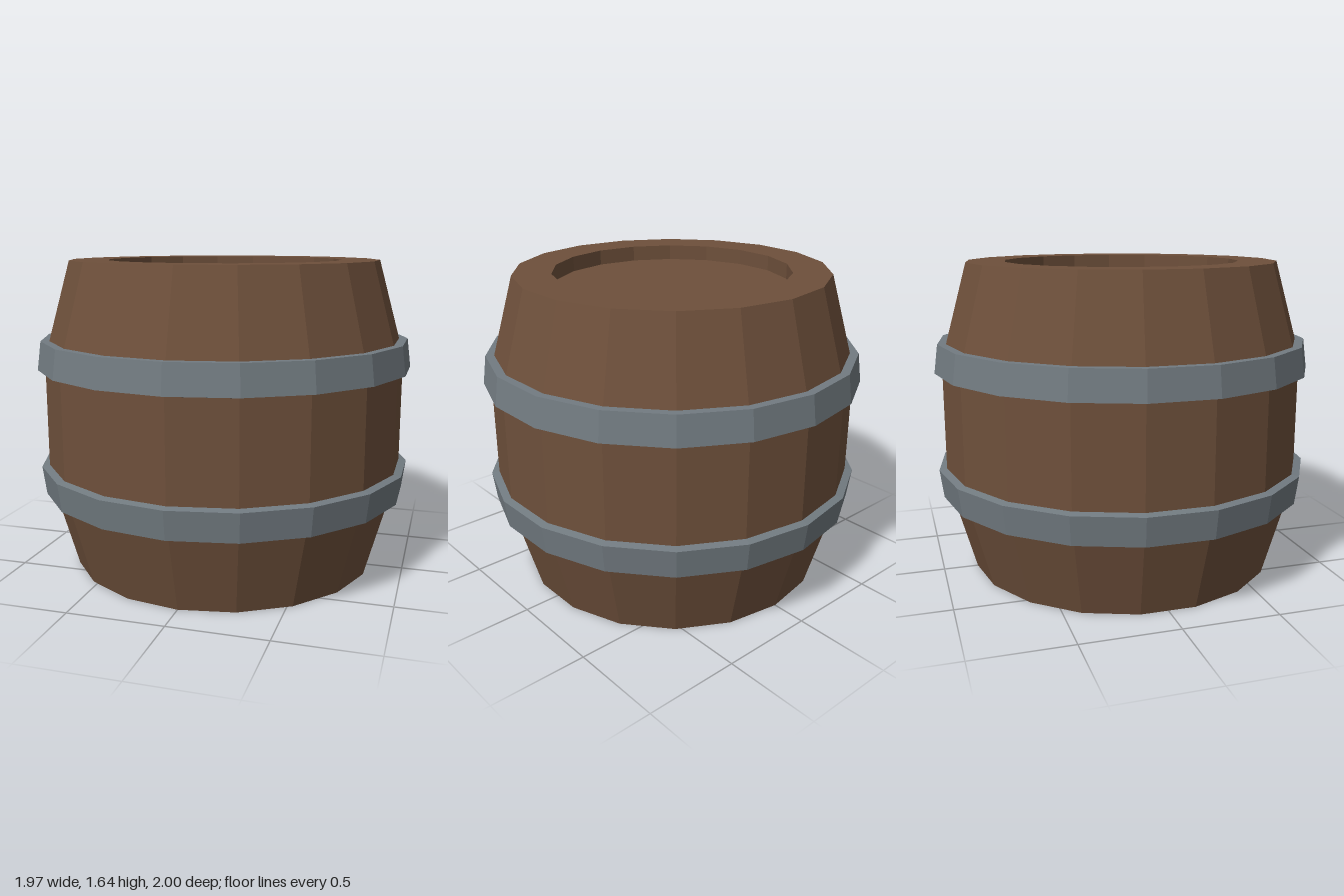
import * as THREE from 'three';

const SIDES = 18;
const HEIGHT = 1.64;

// Turns a [radius, height] profile into a faceted ring or solid
function turned(name, profile, material) {
  const points = profile.map(([r, y]) => new THREE.Vector2(r, y));
  const geometry = new THREE.LatheGeometry(points, SIDES).toNonIndexed();
  geometry.computeVertexNormals();
  const mesh = new THREE.Mesh(geometry, material);
  mesh.name = name;
  return mesh;
}

export function createModel() {
  const wood = new THREE.MeshStandardMaterial({ color: 0x6e503b, flatShading: true });
  const iron = new THREE.MeshStandardMaterial({ color: 0x727b81, flatShading: true });
  const barrel = new THREE.Group();
  barrel.name = 'barrel';

  // Staves with a recessed lid at both ends
  barrel.add(turned('barrelBody', [
    [0, 0.08], [0.64, 0.08], [0.64, 0], [0.82, 0],
    [0.96, 0.5], [0.96, HEIGHT - 0.5],
    [0.82, HEIGHT], [0.62, HEIGHT], [0.62, HEIGHT - 0.08], [0, HEIGHT - 0.08],
  ], wood));

  // Hoops taper towards the ends; the lower one mirrors the upper
  const hoop = [[0.95, 1.07], [1.0, 1.08], [0.98, 1.23], [0.935, 1.23], [0.95, 1.07]];
  const mirrored = hoop.map(([r, y]) => [r, HEIGHT - y]).reverse();
  barrel.add(turned('upperHoop', hoop, iron));
  barrel.add(turned('lowerHoop', mirrored, iron));

  return barrel;
}
